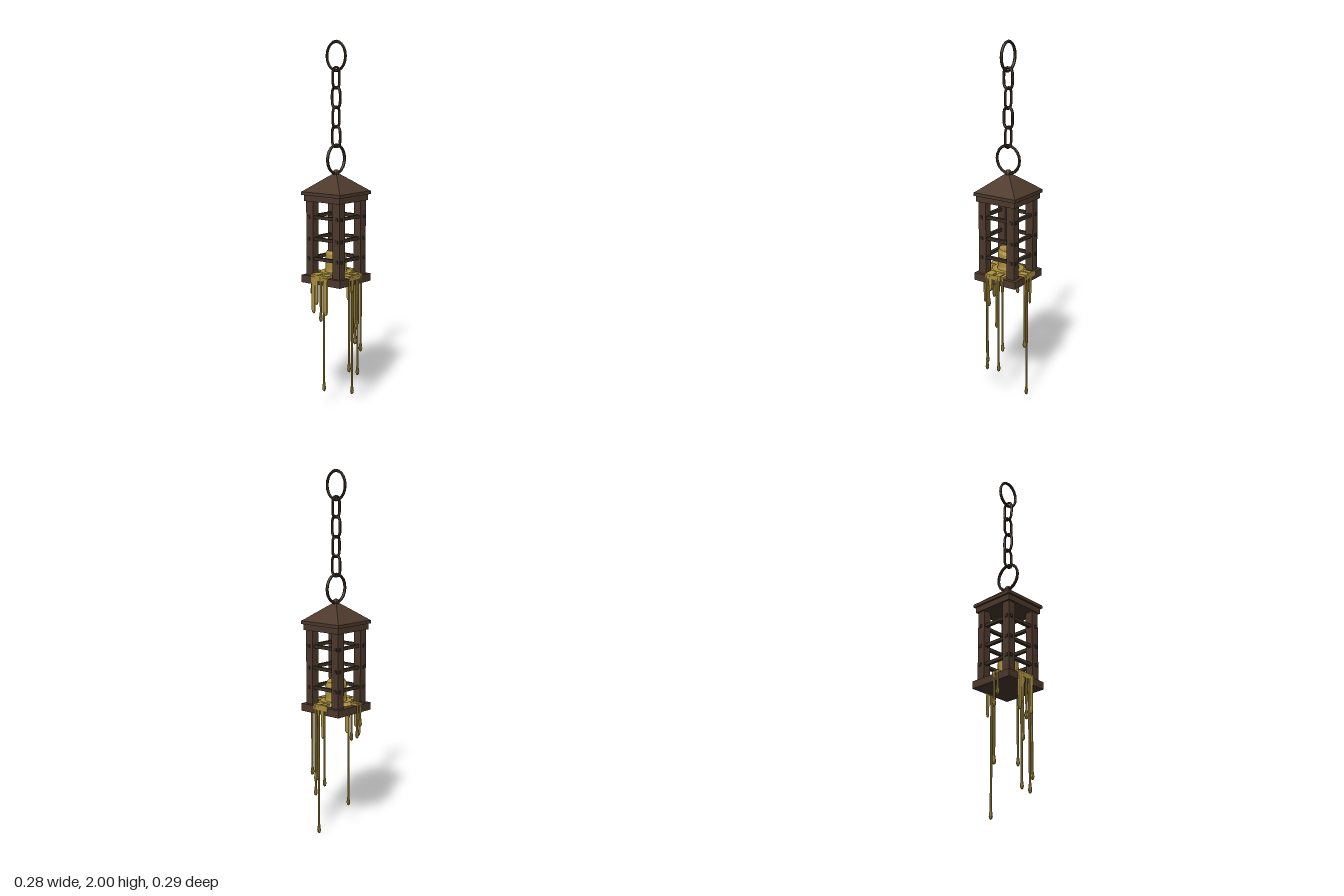
import * as THREE from 'three';

export function createModel() {
  const root = new THREE.Group();
  const mat = (name, color, flat = true) => {
    const m = new THREE.MeshStandardMaterial({ color, flatShading: flat });
    m.name = name;
    return m;
  };
  const wood = mat('dark brown frame', 0x4d392c);
  const iron = mat('dark iron', 0x3b2f25);
  const wax = mat('yellow wax', 0xae9240);

  const add = (name, geo, material, x = 0, y = 0, z = 0) => {
    const mesh = new THREE.Mesh(geo, material);
    mesh.name = name;
    mesh.position.set(x, y, z);
    root.add(mesh);
    return mesh;
  };
  const box = (name, w, h, d, m, x, y, z) => add(name, new THREE.BoxGeometry(w, h, d), m, x, y, z);
  // four-sided frustum, sized by half widths
  const frustum = (top, bottom, h) =>
    new THREE.CylinderGeometry(top * Math.SQRT2, bottom * Math.SQRT2, h, 4).rotateY(Math.PI / 4);

  // Hanging rings, crossed at right angles
  const ring = (name, y, turn, sx) => {
    const r = add(name, new THREE.TorusGeometry(0.077, 0.0085, 6, 20), iron, 0, y, 0);
    r.scale.x = sx;
    r.rotation.y = turn;
  };
  ring('topRing', 1.915, 0, 0.83);
  ring('lowerRing', 1.363, Math.PI / 2, 0.95);

  // Chain links: oblong loops, alternating direction
  const loop = new THREE.CatmullRomCurve3(
    [[-0.027, -0.032], [-0.014, -0.054], [0.014, -0.054], [0.027, -0.032],
      [0.027, 0.032], [0.014, 0.054], [-0.014, 0.054], [-0.027, 0.032]]
      .map(([x, y]) => new THREE.Vector3(x, y, 0)), true, 'catmullrom', 0.3);
  const linkGeo = new THREE.TubeGeometry(loop, 24, 0.0075, 6, true);
  [1.8, 1.695, 1.59, 1.485].forEach((y, i) => {
    add('chainLink', linkGeo, iron, 0, y, 0).rotation.y = i % 2 ? 0 : Math.PI / 2;
  });

  // Roof with eaves and finial
  add('roof', frustum(0.03, 0.135, 0.083), wood, 0, 1.2285, 0);
  add('roofCap', frustum(0.014, 0.03, 0.012), wood, 0, 1.276, 0);
  add('finial', new THREE.SphereGeometry(0.02, 8, 6), iron, 0, 1.288, 0);
  box('roofEdge', 0.27, 0.018, 0.27, wood, 0, 1.179, 0);
  box('eaves', 0.25, 0.034, 0.25, wood, 0, 1.154, 0);

  // Base and corner posts
  box('base', 0.27, 0.042, 0.27, wood, 0, 0.706, 0);
  for (const sx of [-1, 1]) for (const sz of [-1, 1])
    box('cornerPost', 0.047, 0.42, 0.047, wood, sx * 0.0925, 0.935, sz * 0.0925);

  // Cross bars, poking slightly through the posts
  for (const y of [0.82, 0.93, 1.05]) for (const s of [-1, 1]) {
    box('crossBar', 0.242, 0.018, 0.018, iron, 0, y, s * 0.098);
    box('crossBar', 0.018, 0.018, 0.242, iron, s * 0.098, y, 0);
  }

  // Candle with a slanted, slightly dished top
  const candle = new THREE.LatheGeometry(
    [[0.064, 0], [0.058, 0.025], [0.058, 0.1], [0.05, 0.12], [0.036, 0.12], [0, 0.105]]
      .map(([r, y]) => new THREE.Vector2(r, y)), 16);
  const p = candle.attributes.position;
  for (let i = 0; i < p.count; i++)
    if (p.getY(i) > 0.09) p.setY(i, p.getY(i) + p.getZ(i) * 0.16);
  candle.computeVertexNormals();
  add('candle', candle, wax, 0, 0.735, 0);

  // Spilled wax on the floor
  add('waxPuddle', new THREE.CylinderGeometry(0.088, 0.105, 0.018, 18), wax, 0, 0.735, 0);

  // Drip: side direction, position along that side, lowest point, radius
  const drip = (dx, dz, along, low, r) => {
    const top = 0.738, h = top - low, thick = r > 0.01;
    const b = thick ? r : r * 1.75;
    const profile = [[0, 0], [b * 0.7, 0.006], [b, 0.02], [thick ? r : b * 0.8, 0.035],
      [r, Math.min(0.055, h * 0.6)], [r * 1.15, h * 0.8], [r * 1.4, h - 0.01], [0, h]];
    const x = dx * 0.132 + Math.abs(dz) * along;
    const z = dz * 0.132 + Math.abs(dx) * along;
    const d = add('waxDrip', new THREE.LatheGeometry(
      profile.map(([a, y]) => new THREE.Vector2(a, y)), 8), wax, x, low, z);
    if (thick) d.scale.set(dx ? 0.5 : 1, 1, dz ? 0.5 : 1);
    // run of wax from the puddle to the edge
    const w = Math.max(r * 2.2, 0.02);
    box('waxRun', dx ? 0.06 : w, 0.014, dz ? 0.06 : w, wax,
      dx * 0.108 + Math.abs(dz) * along, 0.733, dz * 0.108 + Math.abs(dx) * along);
  };
  // front
  drip(0, 1, -0.052, 0.52, 0.014);
  drip(0, 1, -0.03, 0.57, 0.012);
  drip(0, 1, 0.0, 0.48, 0.006);
  drip(0, 1, 0.022, 0.09, 0.006);
  drip(0, 1, 0.034, 0.52, 0.015);
  // left side
  drip(1, 0, 0.05, 0.2, 0.006);
  drip(1, 0, 0.028, 0.64, 0.012);
  drip(1, 0, -0.013, 0.43, 0.006);
  drip(1, 0, -0.025, 0.165, 0.006);
  drip(1, 0, -0.052, 0.295, 0.006);
  // back
  drip(0, -1, 0.01, 0, 0.006);
  drip(0, -1, 0.03, 0.3, 0.007);
  drip(0, -1, -0.02, 0.55, 0.011);
  // right side
  drip(-1, 0, 0.025, 0.54, 0.006);
  drip(-1, 0, 0.05, 0.6, 0.006);

  // Wax sheets lapping over the front and back edges of the base
  for (const s of [-1, 1]) box('waxSheet', 0.1, 0.03, 0.006, wax, -0.008, 0.724, s * 0.136);
  box('waxSheet', 0.006, 0.025, 0.09, wax, 0.136, 0.727, 0.005);

  return root;
}
